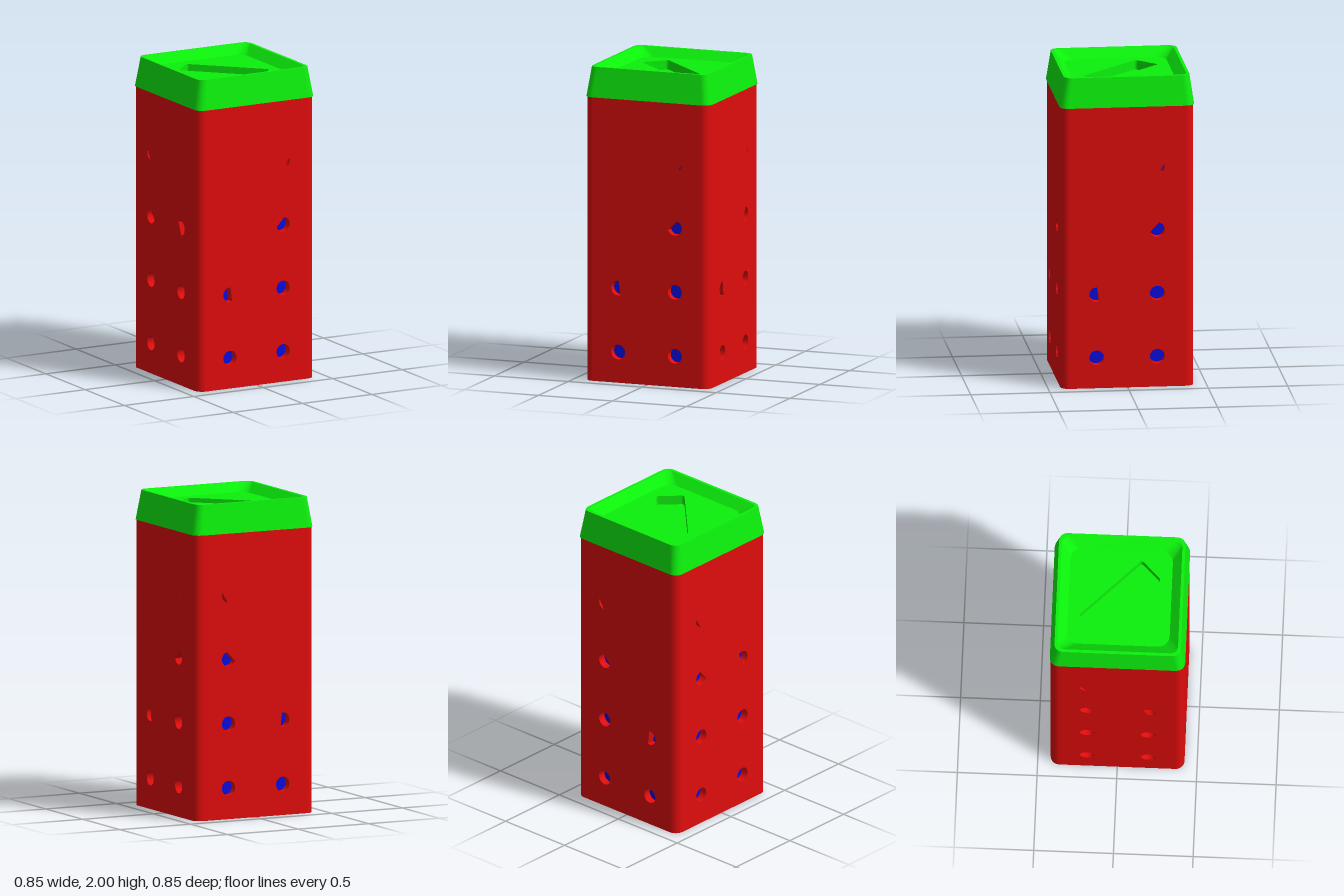
import * as THREE from 'three';

const red = new THREE.MeshStandardMaterial({ color: 0xe00c0c });
const green = new THREE.MeshStandardMaterial({ color: 0x0cf00c });
const blue = new THREE.MeshStandardMaterial({ color: 0x0c0ce0 });

const HALF = 0.42, CORNER = 0.055, WALL = 0.05, BODY_TOP = 1.81, HOLE_R = 0.047;
const ROWS = [0.196, 0.604, 1.013, 1.42];

// Counter-clockwise outline of a rounded rectangle, turned by an angle
function outline(hx, hy, r, turn = 0, seg = 4) {
  const pts = [];
  [[1, 1], [-1, 1], [-1, -1], [1, -1]].forEach(([sx, sy], c) => {
    for (let i = 0; i <= seg; i++) {
      const a = (c + i / seg) * Math.PI / 2;
      pts.push(new THREE.Vector2(sx * (hx - r) + r * Math.cos(a), sy * (hy - r) + r * Math.sin(a))
        .rotateAround(new THREE.Vector2(), turn));
    }
  });
  return pts;
}

// Closed band joining two outlines at two heights
function band(a, ya, b, yb) {
  const pos = [], idx = [], n = a.length;
  a.forEach(p => pos.push(p.x, ya, -p.y));
  b.forEach(p => pos.push(p.x, yb, -p.y));
  for (let i = 0; i < n; i++) {
    const j = (i + 1) % n;
    idx.push(i, j, n + j, i, n + j, n + i);
  }
  const g = new THREE.BufferGeometry();
  g.setAttribute('position', new THREE.Float32BufferAttribute(pos, 3));
  g.setIndex(idx);
  g.computeVertexNormals();
  return g;
}

// Horizontal plate facing up, or down when flipped
function plate(pts, y, hole, down = false) {
  const shape = new THREE.Shape(pts);
  if (hole) shape.holes.push(new THREE.Path(hole));
  return new THREE.ShapeGeometry(shape).rotateX(down ? Math.PI / 2 : -Math.PI / 2).translate(0, y, 0);
}

function add(parent, name, geometry, material) {
  const mesh = new THREE.Mesh(geometry, material);
  mesh.name = name;
  parent.add(mesh);
  return mesh;
}

// Holes of a wall: [column, row, middle of arc, half arc]; an arc short of a full turn is closed by a chord
const full = Math.PI;
const wallHoles = [
  [-0.195, 0, 0, full], [0.188, 0, 0, full], [0.188, 1, 0, full],
  [-0.195, 1, Math.PI + 0.13, 1.78],
  [0.188, 2, -0.75, 2.12],
  [0.188, 3, -0.53, 0.9],
];
const mirrored = wallHoles.map(([u, row, mid, half]) => [-u, row, Math.PI - mid, half]);
const leftHoles = mirrored.filter(([u, row]) => !(u > 0 && row === 1))
  .concat([[0.195, 1, 0, full], [0.195, 2, 0.4, 1.9]]);

function wallGeometry(holes) {
  const w = HALF - CORNER;
  const shape = new THREE.Shape([[-w, 0], [w, 0], [w, BODY_TOP], [-w, BODY_TOP]]
    .map(p => new THREE.Vector2(...p)));
  for (const [u, row, mid, half] of holes) {
    const path = new THREE.Path(), n = half === full ? 28 : 18;
    const pts = [];
    for (let i = 0; i < n; i++) {
      const a = mid - half + 2 * half * i / (half === full ? n : n - 1);
      pts.push(new THREE.Vector2(u + HOLE_R * Math.cos(a), ROWS[row] + HOLE_R * Math.sin(a)));
    }
    path.setFromPoints(pts);
    shape.holes.push(path);
  }
  return new THREE.ExtrudeGeometry(shape, { depth: WALL, bevelEnabled: false })
    .translate(0, 0, HALF - WALL);
}

export function createModel() {
  const model = new THREE.Group();
  model.name = 'tower box';

  // Body: four pierced walls with rounded corners between them
  const body = new THREE.Group();
  body.name = 'body';
  model.add(body);
  const sides = [['front', wallHoles], ['left', wallHoles], ['back', mirrored], ['right', leftHoles]];
  sides.forEach(([name, holes], i) => {
    const side = new THREE.Group();
    side.name = name + 'Side';
    side.rotation.y = i * Math.PI / 2;
    add(side, name + 'Wall', wallGeometry(holes), red);
    const post = new THREE.CylinderGeometry(CORNER, CORNER, BODY_TOP, 6, 1, true, 0, Math.PI / 2);
    add(side, name + 'Corner', post, red)
      .position.set(HALF - CORNER, BODY_TOP / 2, HALF - CORNER);
    body.add(side);
  });
  add(body, 'base', plate(outline(HALF, HALF, CORNER, 0, 6), 0, null, true), red);

  // Inner core seen through the holes
  const inner = 2 * (HALF - WALL) - 0.004;
  add(model, 'core', new THREE.BoxGeometry(inner, 1.76, inner), blue).position.y = 0.9;

  // Lid: sloped skirt, flat rim, sloped recess and a floor with a diagonal slot
  const lid = new THREE.Group();
  lid.name = 'lid';
  model.add(lid);
  const FLOOR = 1.945, SLOT_FLOOR = 1.885;
  const skirt = outline(0.425, 0.425, 0.055), rim = outline(0.397, 0.397, 0.05);
  const lip = outline(0.378, 0.378, 0.045), floor = outline(0.317, 0.322, 0.07);
  const slot = outline(0.27, 0.09, 0.018, -Math.PI / 4);
  add(lid, 'lidUnderside', plate(skirt, BODY_TOP, null, true), green);
  add(lid, 'skirt', band(skirt, BODY_TOP, rim, 2), green);
  add(lid, 'rim', band(rim, 2, lip, 2), green);
  add(lid, 'recessSlope', band(lip, 2, floor, FLOOR), green);
  add(lid, 'recessFloor', plate(floor, FLOOR, slot), green);
  add(lid, 'slotWall', band(slot, FLOOR, slot, SLOT_FLOOR), green);
  add(lid, 'slotFloor', plate(slot, SLOT_FLOOR), green);

  return model;
}
